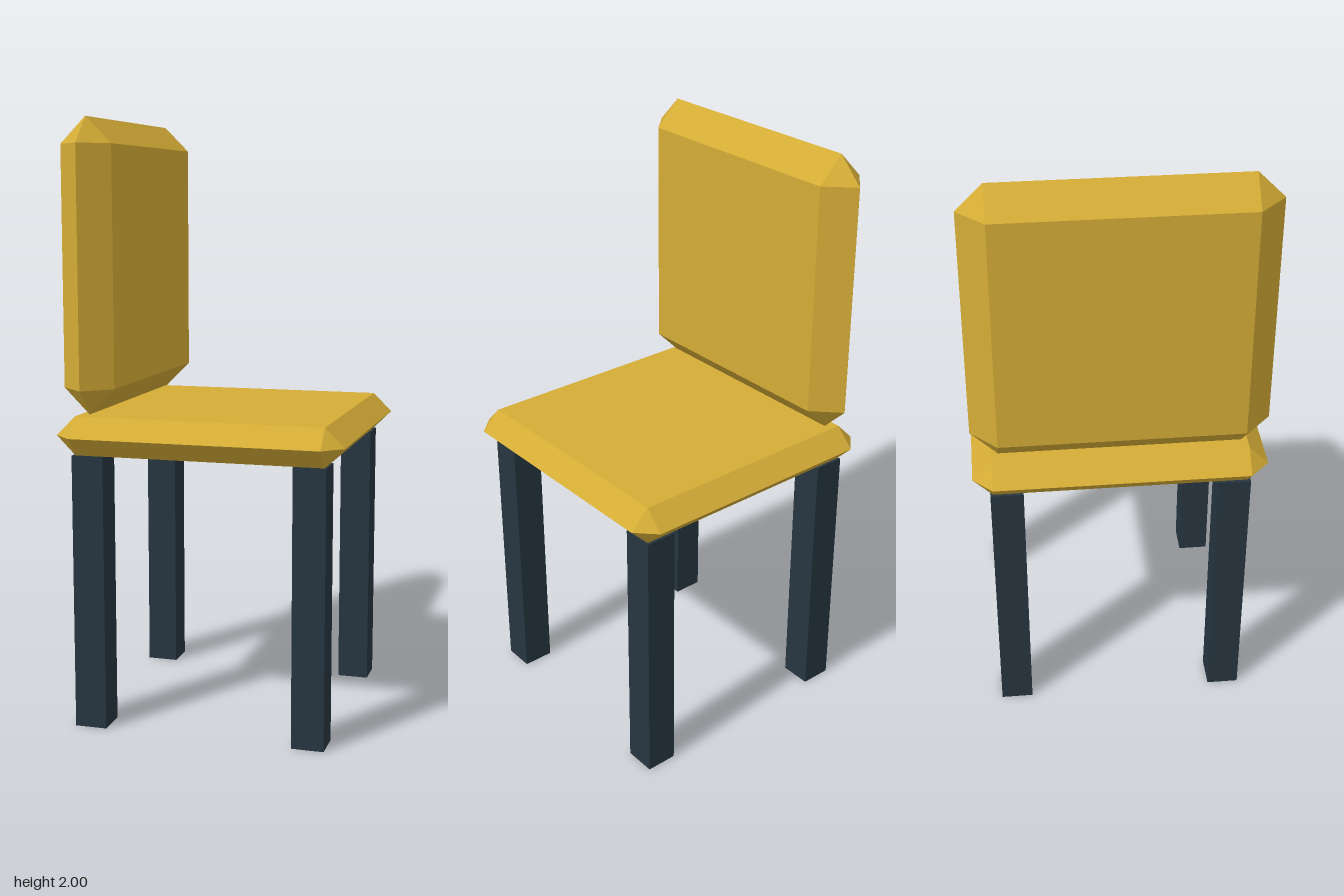
import * as THREE from 'three';
import { ConvexGeometry } from 'three/addons/geometries/ConvexGeometry.js';

const cushionYellow = new THREE.MeshStandardMaterial({ color: 0xd4ac36, name: 'cushionYellow' });
const legSlate = new THREE.MeshStandardMaterial({ color: 0x263540, name: 'legSlate' });

// Box with every edge cut by a single 45 degree bevel
function bevelledBox(w, h, d, bevel) {
  const half = [w / 2, h / 2, d / 2];
  const points = [];
  for (const sx of [-1, 1]) for (const sy of [-1, 1]) for (const sz of [-1, 1]) {
    const signs = [sx, sy, sz];
    for (let axis = 0; axis < 3; axis++) {
      const p = signs.map((s, i) => s * (i === axis ? half[i] : half[i] - bevel));
      points.push(new THREE.Vector3(...p));
    }
  }
  return new ConvexGeometry(points);
}

export function createModel() {
  const chair = new THREE.Group();
  chair.name = 'chair';

  const add = (name, geometry, material, x, y, z) => {
    const mesh = new THREE.Mesh(geometry, material);
    mesh.name = name;
    mesh.position.set(x, y, z);
    chair.add(mesh);
  };

  // Seat and backrest: the bevel is just under half the thickness, so edges come to a ridge
  add('seat', bevelledBox(0.956, 0.128, 0.956, 0.0638), cushionYellow, 0, 0.981, 0);
  add('backrest', bevelledBox(0.172, 0.95, 0.956, 0.0858), cushionYellow, -0.371, 1.525, 0);

  // Four square legs
  const legGeometry = new THREE.BoxGeometry(0.107, 0.917, 0.107);
  for (const [side, x] of [['Left', 0.368], ['Right', -0.371]])
    for (const [end, z] of [['front', 0.37], ['back', -0.37]])
      add(`${end}${side}Leg`, legGeometry, legSlate, x, 0.4585, z);

  return chair;
}
